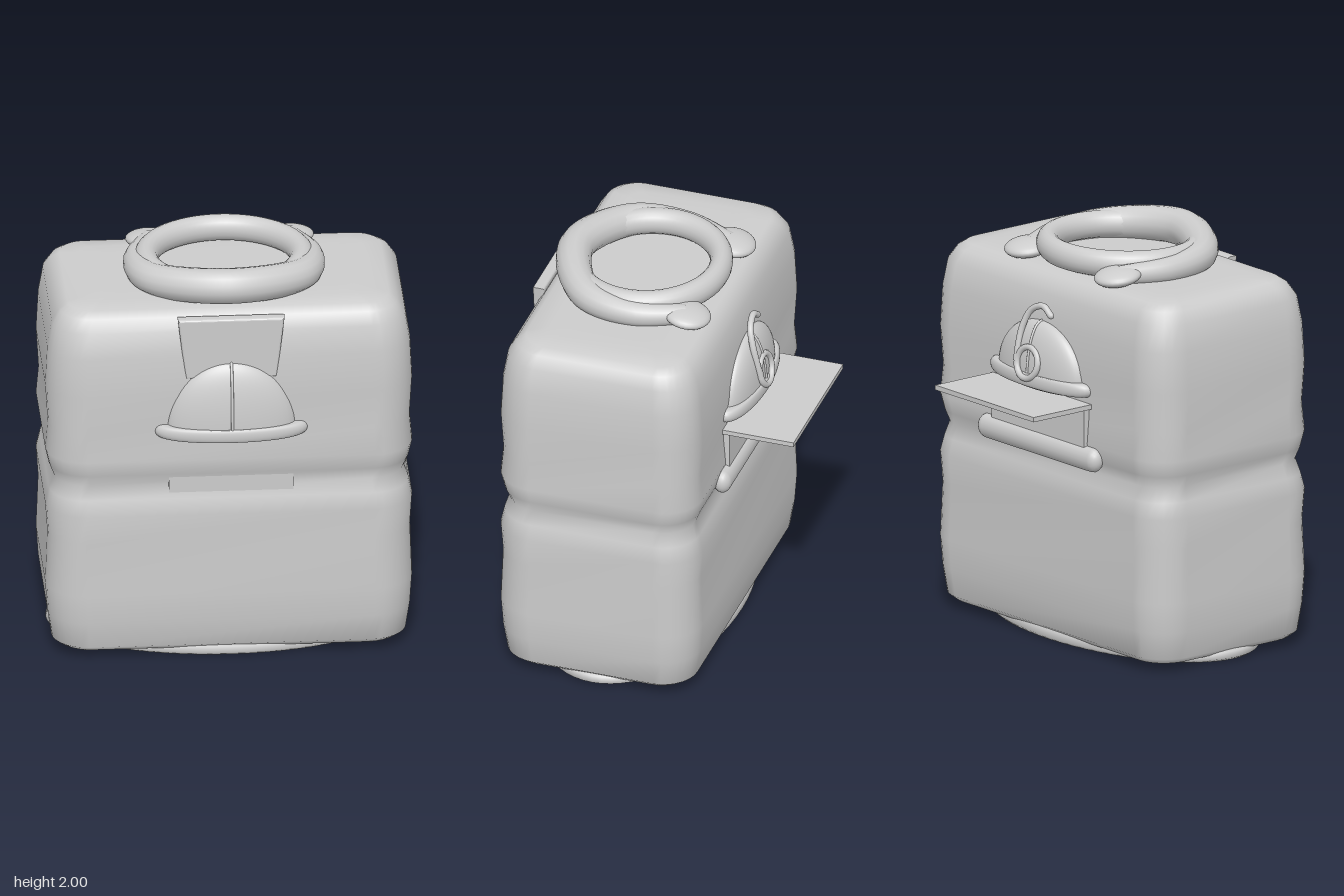
import * as THREE from 'three';

const grey = new THREE.MeshStandardMaterial({ color: 0xcccccc });
grey.name = 'light grey';

function add(parent, name, geometry, x = 0, y = 0, z = 0) {
  const m = new THREE.Mesh(geometry, grey);
  m.name = name;
  m.position.set(x, y, z);
  parent.add(m);
  return m;
}

// Tube along points whose radius follows a rule of t in 0..1
function taperedTube(points, radius, segments = 48, closed = false) {
  const curve = new THREE.CatmullRomCurve3(points.map(p => new THREE.Vector3(...p)), closed);
  const sides = 14;
  const g = new THREE.TubeGeometry(curve, segments, 1, sides, closed);
  const pos = g.attributes.position, v = new THREE.Vector3();
  for (let i = 0; i < pos.count; i++) {
    const t = Math.floor(i / (sides + 1)) / segments;
    const c = curve.getPointAt(t);
    v.fromBufferAttribute(pos, i).sub(c).multiplyScalar(radius(t)).add(c);
    pos.setXYZ(i, v.x, v.y, v.z);
  }
  return g;
}

// Rounded-rectangle rings, each inset by a small amount at its height
function bodyGeometry() {
  const levels = [
    [0.03, 0.3], [0.03, 0.12], [0.036, 0.065], [0.065, 0.03], [0.2, 0.01], [0.35, 0], [0.62, 0.01],
    [0.77, 0], [0.85, 0.018], [0.92, 0.04], [0.98, 0.018], [1.06, 0], [1.2, 0.012], [1.4, 0],
    [1.6, 0.01], [1.73, 0.032], [1.79, 0.07], [1.818, 0.11], [1.828, 0.2], [1.828, 0.3],
  ];
  const steps = 7, n = 4 * (steps + 1), pos = [], index = [];
  for (const [y, d] of levels) {
    const r = Math.max(0.19 - d * 0.6, 0.06);
    const cx = 0.885 - d - r, cz = 0.508 - d - r;
    for (let q = 0; q < 4; q++) for (let s = 0; s <= steps; s++) {
      const a = (q + s / steps) * Math.PI / 2;
      const sx = q === 0 || q === 3 ? 1 : -1, sz = q < 2 ? 1 : -1;
      pos.push(sx * cx + r * Math.cos(a), y, 0.13 + sz * cz + r * Math.sin(a));
    }
  }
  for (let l = 0; l < levels.length - 1; l++) for (let i = 0; i < n; i++) {
    const a = l * n + i, b = l * n + (i + 1) % n;
    index.push(a, a + n, b, b, a + n, b + n);
  }
  // Close the bottom and the top
  const top = (levels.length - 1) * n, c = levels.length * n;
  pos.push(0, 0.03, 0.13, 0, 1.828, 0.13);
  for (let i = 0; i < n; i++) {
    const j = (i + 1) % n;
    index.push(c, i, j, c + 1, top + j, top + i);
  }
  const g = new THREE.BufferGeometry();
  g.setAttribute('position', new THREE.Float32BufferAttribute(pos, 3));
  g.setIndex(index);
  g.computeVertexNormals();
  return g;
}

// Rounded bar: a capsule laid along x, squashed in y and z
function bar(parent, name, halfLength, y, z, ry, rz) {
  const g = new THREE.CapsuleGeometry(0.05, halfLength * 2 - 0.1, 6, 16);
  g.rotateZ(Math.PI / 2).scale(1, ry / 0.05, rz / 0.05);
  return add(parent, name, g, 0, y, z);
}

// Cap relief with dome, centre seam and brim, facing +z
function cap(name, height, depth) {
  const g = new THREE.Group();
  g.name = name;
  const dome = new THREE.SphereGeometry(1, 40, 20, 0, Math.PI * 2, 0, Math.PI / 2);
  dome.scale(0.31, height, depth);
  add(g, 'capDome', dome);
  const seam = [];
  for (let i = 0; i <= 10; i++) {
    const a = i / 10 * Math.PI / 2;
    seam.push([0, height * Math.sin(a), depth * Math.cos(a)]);
  }
  add(g, 'capSeam', taperedTube(seam, () => 0.007, 24));
  // Brim profile with a rounded outer edge
  const profile = [new THREE.Vector2(0, -0.055), new THREE.Vector2(0.24, -0.055), new THREE.Vector2(0.26, -0.04)];
  for (let i = 0; i <= 10; i++) {
    const a = -Math.PI / 2 + i / 10 * Math.PI;
    profile.push(new THREE.Vector2(0.335 + 0.035 * Math.cos(a), -0.008 + 0.033 * Math.sin(a)));
  }
  profile.push(new THREE.Vector2(0, 0.025));
  const brim = new THREE.LatheGeometry(profile, 48);
  brim.scale(1, 1, (depth + 0.015) / 0.37);
  add(g, 'capBrim', brim);
  return g;
}

export function createModel() {
  const model = new THREE.Group();
  model.name = 'pack';

  // Main body and oval base
  add(model, 'body', bodyGeometry());
  const base = new THREE.LatheGeometry([[0, 0], [0.97, 0], [1, 0.015], [0.99, 0.045], [0.95, 0.075], [0, 0.08]]
    .map(p => new THREE.Vector2(...p)), 64);
  base.scale(0.862, 1, 0.475);
  add(model, 'base', base, 0, 0, 0.13);

  // Ring on the top with a thicker, raised collar hugging it
  const ring = new THREE.TorusGeometry(0.376, 0.06, 18, 64);
  ring.rotateX(Math.PI / 2).scale(1, 1.1, 0.92);
  add(model, 'topRing', ring, 0, 1.893, 0.13);
  const half = [[0.34, 1.86, -0.17], [0.418, 1.866, 0.08], [0.35, 1.885, 0.33]];
  const collar = [...half, [0, 1.914, 0.495], ...half.map(([x, y, z]) => [-x, y, z]).reverse()];
  add(model, 'collar', taperedTube(collar, t => 0.05 + 0.037 * Math.sin(Math.PI * t), 64));
  for (const s of [-1, 1]) {
    const pad = add(model, 'collarEnd', new THREE.SphereGeometry(1, 28, 16), s * 0.34, 1.862, -0.18);
    pad.scale.set(0.115, 0.042, 0.115);
    pad.rotation.x = -0.15;
  }

  // Front cap, flap above it and faint panel below it
  const front = cap('frontCap', 0.35, 0.1);
  front.position.set(0, 1.225, 0.615);
  model.add(front);
  const flapShape = new THREE.Shape([[-0.21, 1.5], [0.21, 1.5], [0.245, 1.79], [-0.245, 1.79]]
    .map(p => new THREE.Vector2(...p)));
  add(model, 'frontFlap', new THREE.ExtrudeGeometry(flapShape,
    { depth: 0.03, bevelThickness: 0.014, bevelSize: 0.012, bevelSegments: 4 }), 0, 0, 0.592);
  add(model, 'frontPanel', new THREE.BoxGeometry(0.6, 0.11, 0.06), 0, 0.935, 0.583);

  // Back cap
  const back = cap('backCap', 0.27, 0.095);
  back.position.set(0, 1.33, -0.37);
  back.rotation.y = Math.PI;
  model.add(back);

  // Hook curling down into a small ring
  const hook = [[-0.09, 1.645, -0.39], [-0.03, 1.68, -0.388], [0.045, 1.65, -0.4], [0.08, 1.57, -0.425],
    [0.085, 1.47, -0.45], [0.08, 1.4, -0.465]];
  add(model, 'hook', taperedTube(hook, () => 0.016));
  add(model, 'hookTip', new THREE.SphereGeometry(0.016, 12, 8), ...hook[0]);
  const hookRing = add(model, 'hookRing', new THREE.TorusGeometry(0.076, 0.016, 12, 40), 0, 1.405, -0.463);
  hookRing.rotation.x = 0.22;

  // Back shelf, panel and bar
  add(model, 'shelf', new THREE.BoxGeometry(0.745, 0.024, 0.37), 0, 1.248, -0.545);
  add(model, 'backPanel', new THREE.BoxGeometry(0.7, 0.28, 0.06), 0, 1.1, -0.368);
  bar(model, 'backBar', 0.45, 0.99, -0.38, 0.06, 0.045);

  return model;
}
